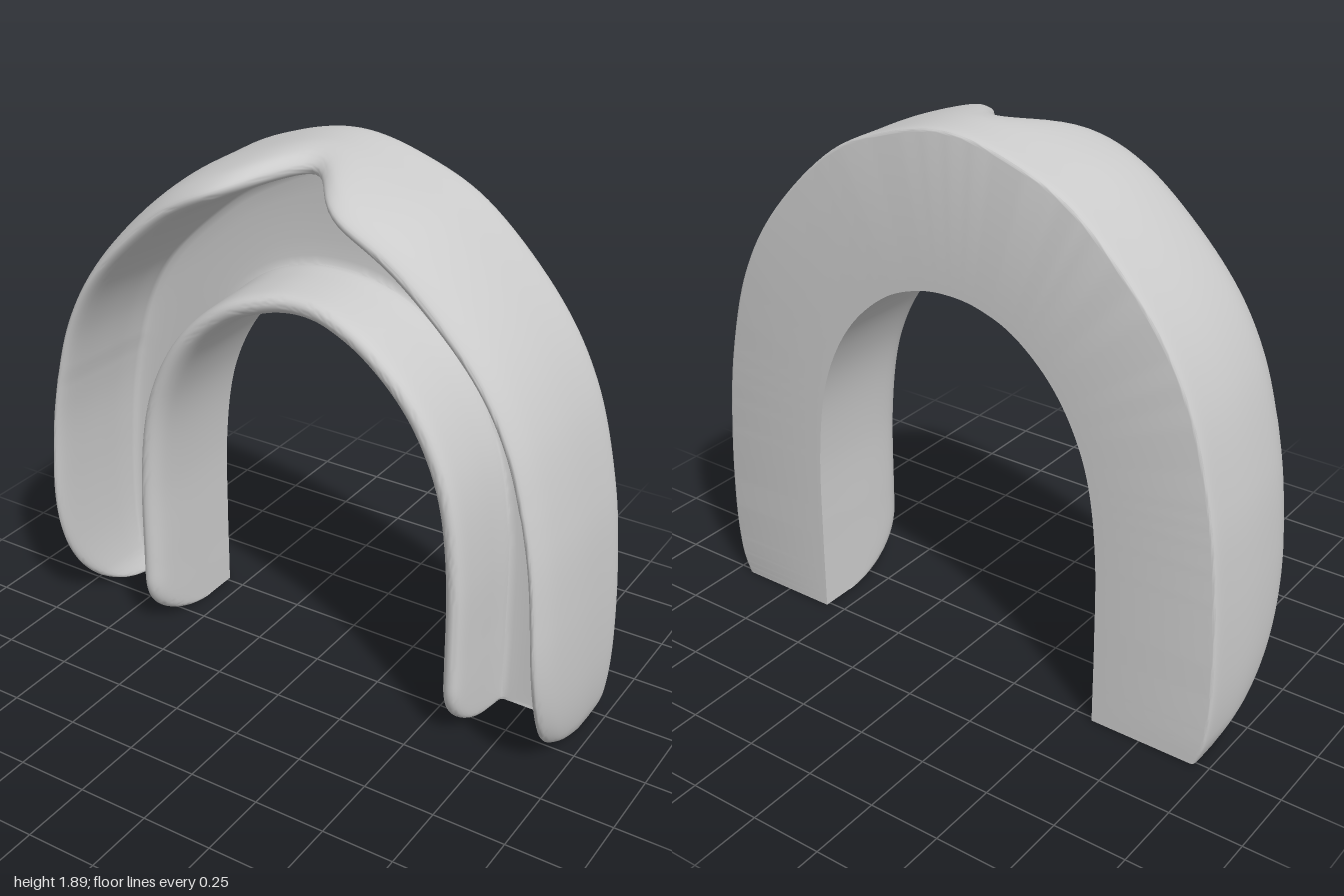
import * as THREE from 'three';
import { toCreasedNormals } from 'three/addons/utils/BufferGeometryUtils.js';

const BACK = -0.265, FLOOR = -0.15;

// Half outlines of the arch, from the foot of the leg to the crown
const OUTER = [[0.95, 0], [0.985, 0.1], [1, 0.3], [0.99, 0.6], [0.955, 0.9], [0.87, 1.22], [0.72, 1.48], [0.47, 1.73], [0.23, 1.845], [0, 1.89]];
const INNER = [[0.57, 0], [0.57, 0.1], [0.57, 0.3], [0.565, 0.6], [0.535, 0.85], [0.475, 1.03], [0.38, 1.18], [0.25, 1.295], [0.12, 1.35], [0, 1.365]];

// Full arch curve by mirroring a half outline
function archCurve(half) {
  const mirrored = half.slice(0, -1).reverse().map(([x, y]) => [-x, y]);
  return new THREE.SplineCurve([...half, ...mirrored].map(([x, y]) => new THREE.Vector2(x, y)));
}

const bell = (x, w) => Math.exp(-((x / w) ** 2));

// Rounded rise of a wall from 0 at the foot to 1 at the given height
function rise(y, length) {
  const k = 1 - Math.min(1, Math.max(0, y / length));
  return Math.pow(Math.max(0, 1 - Math.pow(k, 2.2)), 1 / 2.2);
}

// Cross-section of the channel: d runs from outer to inner edge, z to the front
function section(x, y, width) {
  const zo = -0.15 + 0.415 * rise(y, 0.6) - 0.235 * (y > 1 ? bell(x, 0.15) : 0);
  const zi = -0.12 + (0.29 - 0.04 * bell(x, 0.35)) * rise(y, 0.22);
  const ho = zo - FLOOR, hi = zi - FLOOR;
  const th = 0.09 + 0.04 * bell(Math.abs(x) - 0.45, 0.3) * (y > 1 ? 1 : 0);
  const w = width;
  const points = [
    [0.012, BACK], [0, BACK + 0.015], [0, FLOOR], [0.002, FLOOR + 0.4 * ho],
    [th * 0.15, FLOOR + 0.75 * ho], [th * 0.34, zo - 0.08 * ho], [th * 0.58, zo],
    [th * 0.82, zo - 0.1 * ho], [th * 0.92, FLOOR + 0.5 * ho], [th, FLOOR + 0.12 * ho],
    [th + 0.03, FLOOR], [w - 0.115, FLOOR], [w - 0.088, FLOOR + 0.12 * hi],
    [w - 0.08, FLOOR + 0.6 * hi], [w - 0.072, zi - 0.08 * hi], [w - 0.045, zi],
    [w - 0.014, zi - 0.07 * hi], [w, FLOOR + 0.7 * hi], [w, FLOOR], [w, BACK],
  ];
  return new THREE.SplineCurve(points.map(([d, z]) => new THREE.Vector2(d, z))).getPoints((points.length - 1) * 4);
}

function channelGeometry() {
  const outer = archCurve(OUTER), inner = archCurve(INNER);
  const steps = 200, positions = [], index = [];
  let loop, n;
  const loops = [];
  for (let i = 0; i <= steps; i++) {
    // Samples crowd towards the rounded feet
    const u = (2 * i) / steps;
    const t = u <= 1 ? 0.5 * Math.pow(u, 1.5) : 1 - 0.5 * Math.pow(2 - u, 1.5);
    const o = outer.getPoint(t), p = inner.getPoint(t);
    const dir = p.clone().sub(o), width = dir.length();
    dir.normalize();
    loop = section(o.x, o.y, width);
    loops.push(loop);
    n = loop.length;
    for (const q of loop) positions.push(o.x + dir.x * q.x, o.y + dir.y * q.x, q.y);
  }
  for (let i = 0; i < steps; i++) {
    for (let j = 0; j < n; j++) {
      const k = (j + 1) % n;
      const a = i * n + j, b = a + n, c = i * n + k, d = c + n;
      index.push(a, b, c, b, d, c);
    }
  }
  // Flat caps on the two feet
  for (const [ring, sign] of [[0, -1], [steps, 1]]) {
    const pts = loops[ring];
    for (const [a, b, c] of THREE.ShapeUtils.triangulateShape(pts, [])) {
      const same = THREE.ShapeUtils.area([pts[a], pts[b], pts[c]]) * sign > 0;
      const tri = same ? [a, b, c] : [a, c, b];
      index.push(...tri.map((v) => v + ring * n));
    }
  }
  const geometry = new THREE.BufferGeometry();
  geometry.setAttribute('position', new THREE.Float32BufferAttribute(positions, 3));
  geometry.setIndex(index);
  return toCreasedNormals(geometry, 0.8);
}

export function createModel() {
  const group = new THREE.Group();
  group.name = 'mouthguard';
  const material = new THREE.MeshStandardMaterial({ color: 0xcccccc });
  const tray = new THREE.Mesh(channelGeometry(), material);
  tray.name = 'archedChannelTray';
  group.add(tray);
  return group;
}
